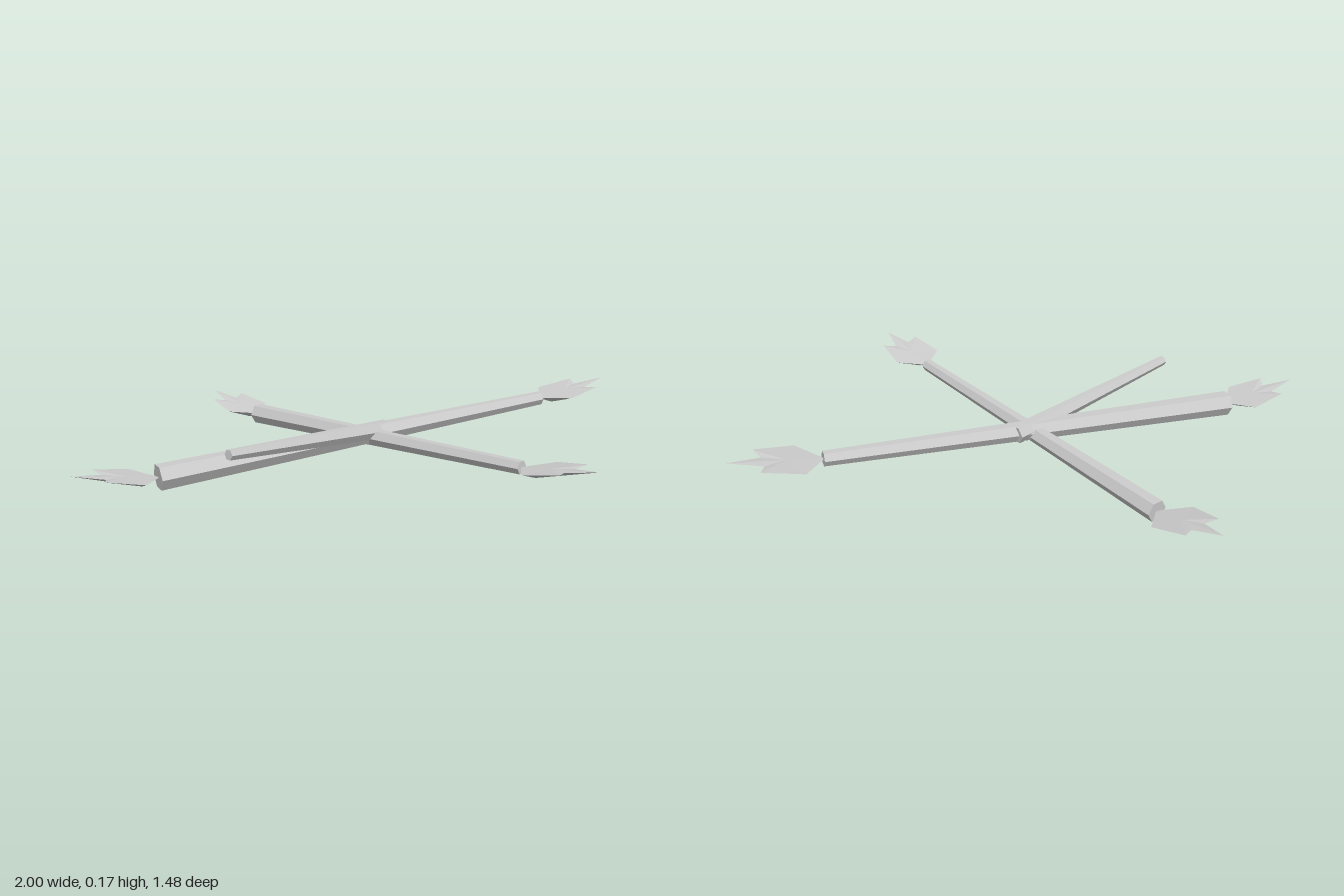
import * as THREE from 'three';

const grey = new THREE.MeshStandardMaterial({ color: 0xcccccc, flatShading: true });
grey.name = 'plain grey';

// Tapered six-sided log between two points, flat face upward
function makeLog(name, from, to, r0, r1) {
  const a = new THREE.Vector3(...from), b = new THREE.Vector3(...to);
  const geo = new THREE.CylinderGeometry(r1, r0, a.distanceTo(b), 6);
  geo.rotateY(Math.PI / 6).rotateX(Math.PI / 2);
  const mesh = new THREE.Mesh(geo, grey);
  mesh.name = name;
  mesh.position.copy(a).add(b).multiplyScalar(0.5);
  mesh.lookAt(b);
  return mesh;
}

// Three-pointed flame: jagged outline, shallow top and a keel below, pointing to +z
function flameGeometry() {
  const half = [[0.105, 0.012, 0.075], [0.083, 0.036, 0.215], [0.032, 0.028, 0.195]];
  const outline = [
    [0, 0, -0.005], ...half, [0, 0.047, 0.31],
    ...half.map(([x, y, z]) => [-x, y, z]).reverse(),
  ];
  const hub = [0, 0.02, 0.12], keel = [0, -0.022, 0.06];
  const pos = [];
  outline.forEach((p, i) => {
    const q = outline[(i + 1) % outline.length];
    pos.push(...hub, ...q, ...p, ...keel, ...p, ...q);
  });
  const geo = new THREE.BufferGeometry();
  geo.setAttribute('position', new THREE.Float32BufferAttribute(pos, 3));
  geo.computeVertexNormals();
  return geo;
}

export function createModel() {
  const group = new THREE.Group();
  group.name = 'campfire';

  // Crossed logs, thick end first
  const longA = [-0.735, 0.042, 0.23], longB = [0.71, 0.122, -0.25];
  const crossA = [-0.35, 0.042, -0.515], crossB = [0.39, 0.102, 0.52];
  group.add(
    makeLog('longLog', longA, longB, 0.045, 0.026),
    makeLog('crossLog', crossA, crossB, 0.038, 0.023),
    makeLog('shortLog', [0.07, 0.086, -0.055], [-0.515, 0.153, 0.388], 0.034, 0.018),
  );

  // Flames on the log ends: base, opposite end, scale
  const geo = flameGeometry();
  [[longA, longB, 0.9], [longB, longA, 0.985], [crossA, crossB, 0.88], [crossB, crossA, 0.9]]
    .forEach(([base, far, s], i) => {
      const flame = new THREE.Mesh(geo, grey);
      flame.name = `flame${i + 1}`;
      flame.position.set(...base);
      flame.rotation.y = Math.atan2(base[0] - far[0], base[2] - far[2]);
      flame.scale.set(s, 1, s);
      group.add(flame);
    });
  return group;
}
